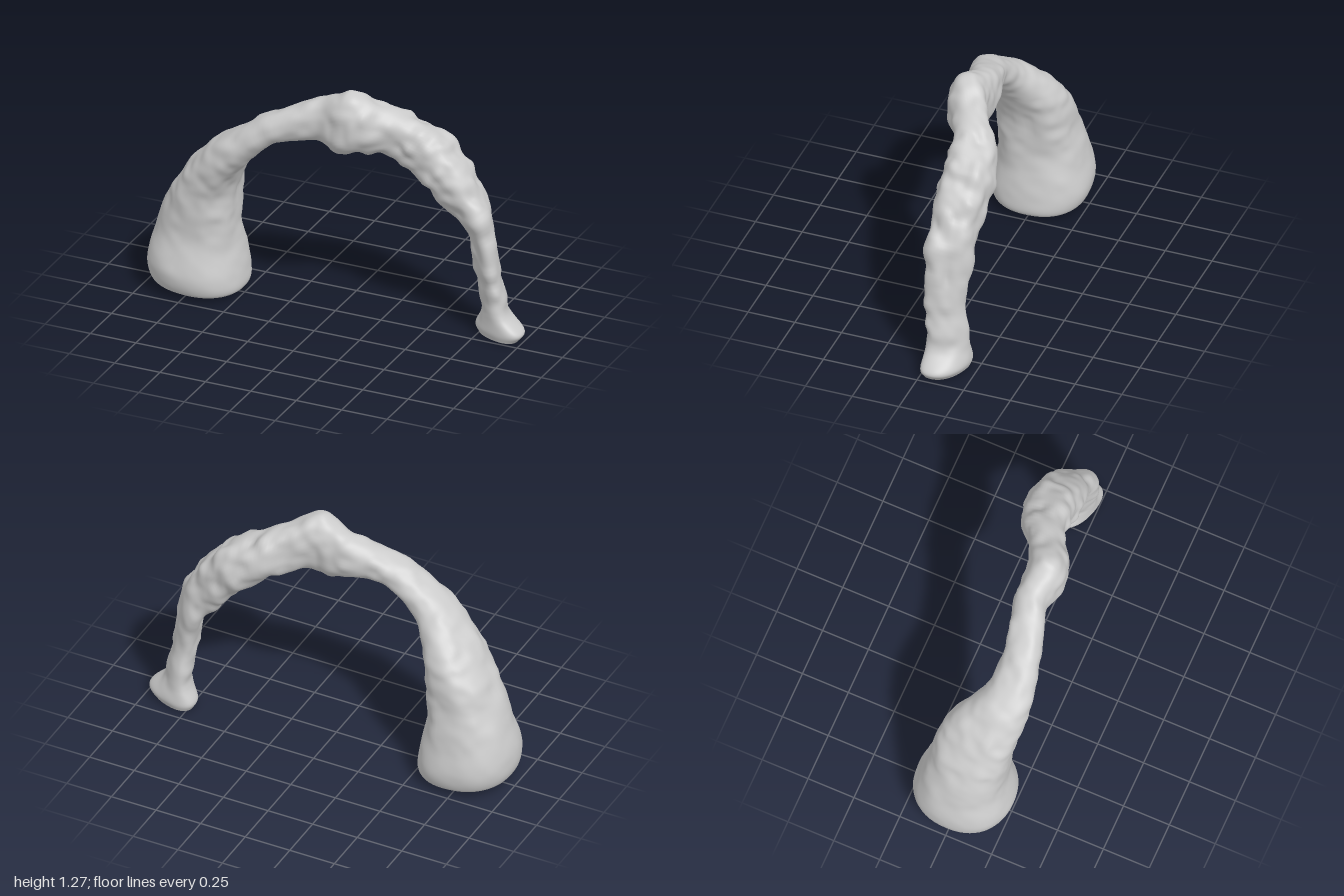
import * as THREE from 'three';

// Cross-sections along the arch, from the thick foot to the thin foot:
// [outer x, outer y, inner x, inner y, z centre, z half-depth]
const SECTIONS = [
  [-0.93, 0.035, -0.55, 0.01, 0, 0.2],
  [-0.985, 0.07, -0.5, 0.035, 0, 0.24],
  [-1, 0.17, -0.5, 0.12, 0, 0.257],
  [-0.96, 0.34, -0.53, 0.28, 0, 0.222],
  [-0.9, 0.49, -0.54, 0.42, 0.01, 0.203],
  [-0.83, 0.63, -0.535, 0.54, 0.02, 0.198],
  [-0.74, 0.75, -0.51, 0.66, 0.045, 0.183],
  [-0.63, 0.87, -0.46, 0.75, 0.085, 0.15],
  [-0.5, 0.965, -0.39, 0.83, 0.118, 0.115],
  [-0.3, 1.09, -0.25, 0.945, 0.108, 0.097],
  [-0.08, 1.19, -0.08, 0.965, 0.05, 0.09],
  [0.02, 1.235, 0.03, 0.925, 0.055, 0.1],
  [0.12, 1.275, 0.1, 0.935, 0.065, 0.105],
  [0.22, 1.22, 0.19, 0.945, 0.025, 0.105],
  [0.38, 1.13, 0.32, 0.91, -0.055, 0.113],
  [0.56, 1.055, 0.43, 0.83, -0.085, 0.125],
  [0.65, 0.96, 0.52, 0.76, -0.085, 0.124],
  [0.74, 0.84, 0.6, 0.66, -0.085, 0.12],
  [0.825, 0.68, 0.675, 0.57, -0.08, 0.105],
  [0.875, 0.42, 0.725, 0.39, -0.075, 0.09],
  [0.9, 0.21, 0.755, 0.2, -0.1, 0.085],
  [0.925, 0.125, 0.75, 0.12, -0.105, 0.09],
  [1, 0.05, 0.715, 0.045, -0.105, 0.098],
  [0.975, 0.005, 0.73, 0.005, -0.105, 0.085],
];
const RINGS = 220, SIDES = 56;

const spline = (pick) => new THREE.CatmullRomCurve3(
  SECTIONS.map((s) => new THREE.Vector3(...pick(s))), false, 'catmullrom', 0.5);

// Smooth value noise in the range -1..1
function hash(x, y, z) {
  const h = Math.sin(x * 127.1 + y * 311.7 + z * 74.7) * 43758.5453;
  return (h - Math.floor(h)) * 2 - 1;
}
function noise(x, y, z) {
  const c = [x, y, z].map(Math.floor);
  const f = [x - c[0], y - c[1], z - c[2]].map((t) => t * t * (3 - 2 * t));
  let sum = 0;
  for (let k = 0; k < 8; k++) {
    const o = [k & 1, (k >> 1) & 1, k >> 2];
    const w = o.reduce((p, on, i) => p * (on ? f[i] : 1 - f[i]), 1);
    sum += w * hash(c[0] + o[0], c[1] + o[1], c[2] + o[2]);
  }
  return sum;
}

// Loft a closed skin through the sections, then cap both feet
function archGeometry() {
  const outerCurve = spline((s) => [s[0], s[1], s[4]]);
  const innerCurve = spline((s) => [s[2], s[3], s[5]]);
  const { smoothstep } = THREE.MathUtils;
  const pos = [], index = [];
  const round = (c) => Math.sign(c) * Math.abs(c) ** 0.88;

  for (let i = 0; i <= RINGS; i++) {
    const t = i / RINGS;
    const o = outerCurve.getPoint(t), n = innerCurve.getPoint(t);
    const ux = (o.x - n.x) / 2, uy = (o.y - n.y) / 2, half = Math.hypot(ux, uy);
    // The thin leg twists towards its foot
    const skew = 0.04 * smoothstep(t, 0.65, 0.85);
    // The thin half is rougher; both feet stay calm
    const rough = (0.01 + 0.009 * smoothstep(t, 0.45, 0.65)) * smoothstep(Math.min(t, 1 - t), 0, 0.25);
    for (let j = 0; j < SIDES; j++) {
      const a = (j / SIDES) * Math.PI * 2;
      const c = round(Math.cos(a)), s = round(Math.sin(a));
      const x = (o.x + n.x) / 2 + ux * c, y = (o.y + n.y) / 2 + uy * c;
      const z = o.z + n.z * s + skew * c;
      const d = rough * (noise(x * 9, y * 9, z * 9) + 0.7 * noise(x * 19 + 7, y * 19, z * 19));
      pos.push(x + (ux / half) * Math.cos(a) * d, y + (uy / half) * Math.cos(a) * d, z + Math.sin(a) * d);
    }
  }
  for (let i = 0; i < RINGS; i++) {
    for (let j = 0; j < SIDES; j++) {
      const a = i * SIDES + j, b = i * SIDES + (j + 1) % SIDES;
      index.push(a, b, a + SIDES, b, b + SIDES, a + SIDES);
    }
  }
  const cap = (ring, section, flip) => {
    const centre = pos.length / 3;
    pos.push((section[0] + section[2]) / 2, 0, section[4]);
    for (let j = 0; j < SIDES; j++) {
      const a = ring * SIDES + j, b = ring * SIDES + (j + 1) % SIDES;
      index.push(centre, flip ? b : a, flip ? a : b);
    }
  };
  cap(0, SECTIONS[0], true);
  cap(RINGS, SECTIONS.at(-1), false);

  const geo = new THREE.BufferGeometry();
  geo.setAttribute('position', new THREE.Float32BufferAttribute(pos, 3));
  geo.setIndex(index);
  geo.computeVertexNormals();
  return geo;
}

export function createModel() {
  const group = new THREE.Group();
  group.name = 'naturalRockArch';
  const arch = new THREE.Mesh(archGeometry(), new THREE.MeshStandardMaterial({ color: 0xcccccc }));
  arch.name = 'rockArch';
  group.add(arch);
  return group;
}
